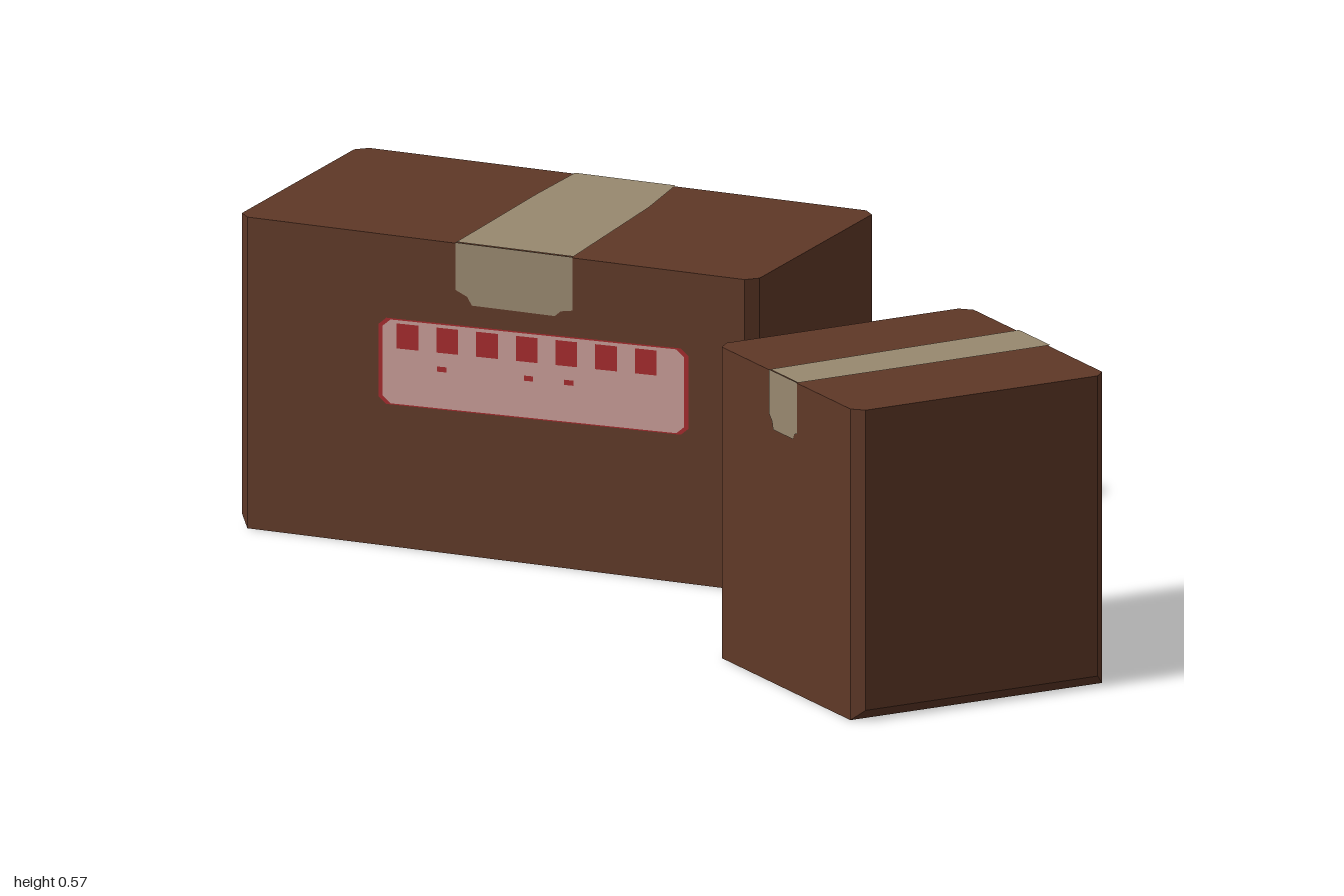
import * as THREE from 'three';
import { ConvexGeometry } from 'three/addons/geometries/ConvexGeometry.js';

const material = (name, color) => {
  const m = new THREE.MeshStandardMaterial({ color });
  m.name = name;
  return m;
};

const HEIGHT = 0.57;
const BEVEL = 0.02;

// Carton: bevelled upright edges, bevelled bottom edges at the two x ends, sharp top
function cartonGeometry(w, d) {
  const pts = [];
  for (const sx of [-1, 1]) for (const sz of [-1, 1]) {
    pts.push(new THREE.Vector3(sx * w, HEIGHT, sz * (d - BEVEL)));
    pts.push(new THREE.Vector3(sx * (w - BEVEL), HEIGHT, sz * d));
    pts.push(new THREE.Vector3(sx * w, BEVEL, sz * (d - BEVEL)));
    pts.push(new THREE.Vector3(sx * (w - BEVEL), 0, sz * d));
  }
  return new ConvexGeometry(pts);
}

// Flat plate from a 2D outline, facing +z
function plate(name, outline, mat, offset = 0) {
  const shape = new THREE.Shape(outline.map(([x, y]) => new THREE.Vector2(x, y)));
  const mesh = new THREE.Mesh(new THREE.ShapeGeometry(shape), mat);
  mesh.name = name;
  mesh.position.z = offset;
  return mesh;
}

// Tape end hanging down a face, with a worn lower edge
function tapeEnd(name, x0, x1, bottom, mat) {
  const w = x1 - x0;
  return plate(name, [
    [x0, HEIGHT + 0.002], [x0, bottom + 0.025], [x0 + w * 0.1, bottom + 0.015], [x0 + w * 0.14, bottom],
    [x0 + w * 0.85, bottom], [x0 + w * 0.9, bottom + 0.01], [x1, bottom + 0.014], [x1, HEIGHT + 0.002],
  ], mat, 0.002);
}

// Sticker, slightly tilted, with a red rim and a row of abstract printed marks
function sticker(x0, x1, paper, ink) {
  const g = new THREE.Group();
  g.name = 'sticker';
  const w = x1 - x0;
  const at = (u, v) => [x0 + u * w, 0.26 + v * 0.158 + u * 0.012];
  const outline = (e) => {
    const a = e, b = 1 - e, k = 0.025;
    return [[a + k, a], [b - k, a], [b, a + 0.08], [b, b - 0.08], [b - k, b], [a + k, b], [a, b - 0.08], [a, a + 0.08]]
      .map(([u, v]) => at(u, v));
  };
  g.add(plate('stickerRim', outline(0), ink, 0.002));
  g.add(plate('stickerPaper', outline(0.014), paper, 0.003));
  const block = (u, v, du, dv) => g.add(plate('printedMark',
    [at(u, v), at(u + du, v), at(u + du, v + dv), at(u, v + dv)], ink, 0.004));
  for (let i = 0; i < 7; i++) block(0.06 + i * 0.128, 0.66, 0.07, 0.29);
  for (const u of [0.19, 0.47, 0.6]) block(u, 0.44, 0.03, 0.06);
  return g;
}

export function createModel() {
  const cardboard = material('cardboard brown', 0x5f3827);
  const tape = material('tape beige', 0x98886f);
  const paper = material('sticker pink', 0xc69b95);
  const ink = material('ink red', 0xa3292c);

  const boxes = [
    {
      name: 'longBox', w: 0.505, d: 0.2525, x: -0.442, z: -0.06, turn: 0.365,
      rows: [[-0.25, -0.083, 0.113], [-0.1, -0.085, 0.132], [0.25, -0.078, 0.15]], // tape: z, left, right
      ends: [0.46, 0.46], label: ['front', -0.228, 0.377],
    },
    {
      name: 'squareBox', w: 0.254, d: 0.254, x: 0.686, z: 0.155, turn: -0.26,
      rows: [[-0.254, -0.072, 0.042], [0, -0.066, 0.044], [0.254, -0.058, 0.044]],
      ends: [0.465, 0.46], label: ['back', -0.125, 0.185],
    },
  ];

  const model = new THREE.Group();
  model.name = 'cardboardBoxes';
  for (const b of boxes) {
    const box = new THREE.Group();
    box.name = b.name;
    box.position.set(b.x, 0, b.z);
    box.rotation.y = b.turn;
    const carton = new THREE.Mesh(cartonGeometry(b.w, b.d), cardboard);
    carton.name = 'carton';
    box.add(carton);

    // Tape strip across the top
    const left = b.rows.map(([z, l]) => [l, -z]);
    const right = b.rows.map(([z, , r]) => [r, -z]).reverse();
    left[0][1] += 0.002;
    right[2][1] += 0.002;
    const strip = plate('topTape', [...left, ...right], tape);
    strip.rotation.x = -Math.PI / 2;
    strip.position.y = HEIGHT + 0.002;
    box.add(strip);

    // Front and back faces carry the tape ends and the sticker
    ['front', 'back'].forEach((side, i) => {
      const face = new THREE.Group();
      face.name = side + 'Face';
      face.rotation.y = i * Math.PI;
      face.position.z = i ? -b.d : b.d;
      const [, l, r] = b.rows[i ? 0 : 2];
      face.add(tapeEnd(side + 'TapeEnd', i ? -r : l, i ? -l : r, b.ends[i], tape));
      if (b.label[0] === side) face.add(sticker(b.label[1], b.label[2], paper, ink));
      box.add(face);
    });
    model.add(box);
  }
  return model;
}
